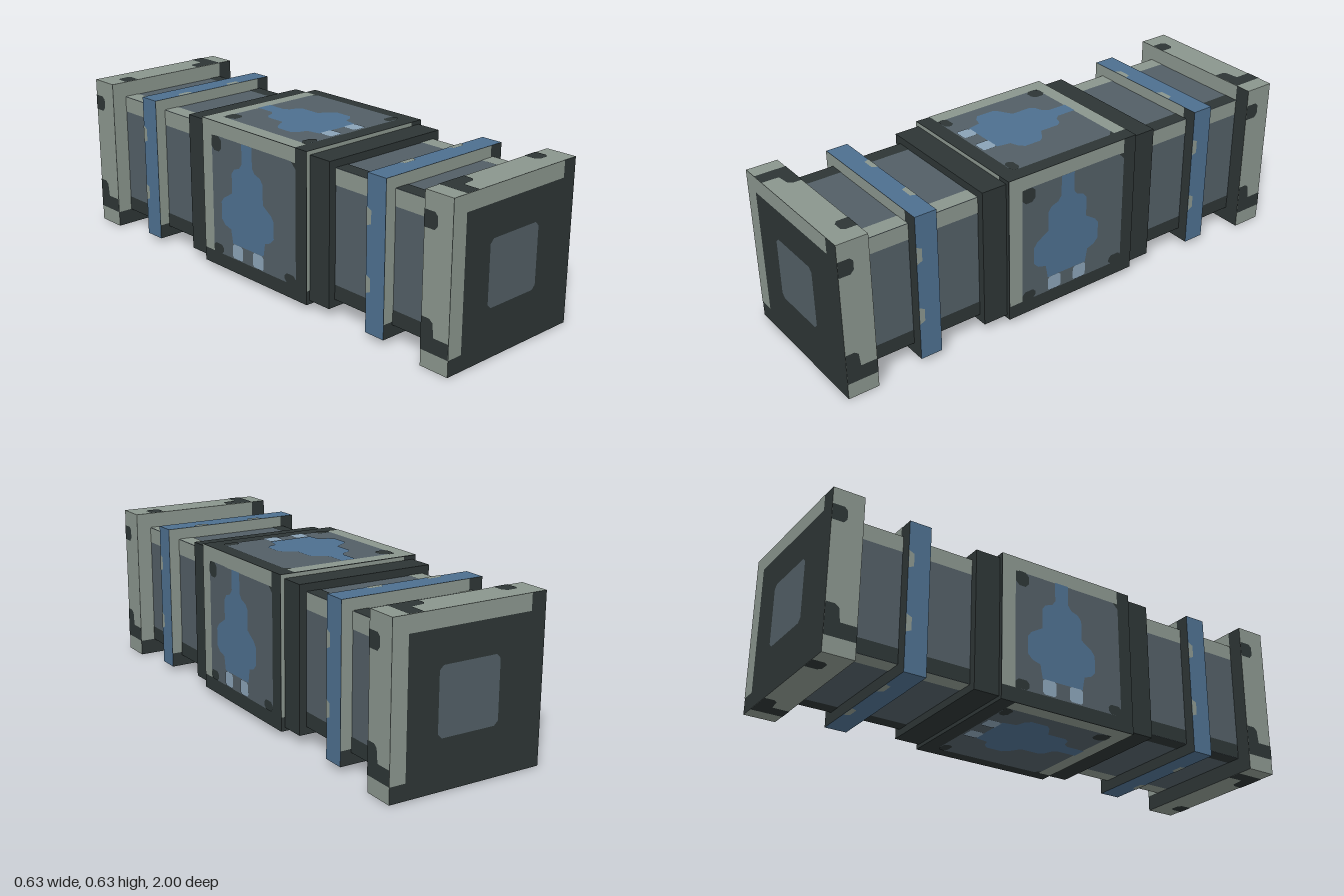
import * as THREE from 'three';

const mat = (name, color) => {
  const m = new THREE.MeshStandardMaterial({ color });
  m.name = name;
  return m;
};
const V = (x, y, z) => new THREE.Vector3(x, y, z);
const rect = (x0, y0, x1, y1) => [[x0, y0], [x1, y0], [x1, y1], [x0, y1]];
// rectangle with cut corners
const cut = (x0, y0, x1, y1, c) => [
  [x0 + c, y0], [x1 - c, y0], [x1, y0 + c], [x1, y1 - c],
  [x1 - c, y1], [x0 + c, y1], [x0, y1 - c], [x0, y0 + c]];
// highlight along the left and top edges of a square face
const corner = (h, w) => [
  [-h, -h + w], [-h + w, -h + w], [-h + w, h - w], [h - w, h - w], [h - w, h], [-h, h]];

export function createModel() {
  const light = mat('paleGrey', 0x8a958d);
  const dark = mat('darkGrey', 0x2d3535);
  const slate = mat('slate', 0x525e65);
  const blue = mat('blue', 0x4d6f8f);
  const pale = mat('paleBlue', 0x8aa2b6);

  const model = new THREE.Group();
  model.name = 'squareConduit';
  const body = new THREE.Group();
  body.name = 'body';
  body.position.y = 0.3135;
  model.add(body);

  // square block along z: sides in one colour, ends in another
  function block(parent, name, half, z0, z1, side, end) {
    const mesh = new THREE.Mesh(
      new THREE.BoxGeometry(half * 2, half * 2, z1 - z0), [side, side, side, side, end, end]);
    mesh.name = name;
    mesh.position.z = (z0 + z1) / 2;
    parent.add(mesh);
  }
  // group lying on a face: local x = a, local z = outward normal
  function face(parent, name, n, a, origin) {
    const g = new THREE.Group();
    g.name = name;
    const b = n.clone().cross(a);
    g.quaternion.setFromRotationMatrix(new THREE.Matrix4().makeBasis(a, b, n));
    g.position.copy(origin);
    parent.add(g);
    return g;
  }
  function paint(parent, name, points, material, layer = 1) {
    const shape = new THREE.Shape(points.map(p => new THREE.Vector2(p[0], p[1])));
    const mesh = new THREE.Mesh(new THREE.ShapeGeometry(shape), material);
    mesh.name = name;
    mesh.position.z = 0.0015 * layer;
    parent.add(mesh);
  }
  // highlight on both end faces of a block
  function endTrim(parent, name, half, z0, z1, w) {
    for (const [s, z] of [[-1, z0], [1, z1]]) {
      const f = face(parent, name, V(0, 0, s), V(s, 0, 0), V(0, 0, z));
      paint(f, name + 'Highlight', corner(half, w), light);
    }
  }

  // central housing
  block(body, 'collar', 0.28, -0.4, 0.4, dark, dark);
  const H = 0.295;
  block(body, 'housing', H, -0.297, 0.297, dark, dark);
  endTrim(body, 'housingEnd', H, -0.297, 0.297, 0.055);

  // window panels on the four sides of the housing
  const emblem = [
    [-0.06, 0.24], [-0.06, 0.16], [-0.075, 0.14], [-0.105, 0.13], [-0.12, 0.11], [-0.12, 0.03],
    [-0.17, 0], [-0.185, -0.02], [-0.185, -0.09], [-0.165, -0.11], [-0.13, -0.12], [-0.12, -0.175],
    [0.06, -0.175], [0.07, -0.12], [0.1, -0.11], [0.12, -0.09], [0.12, -0.02], [0.105, 0],
    [0.06, 0.03], [0.06, 0.11], [0.045, 0.13], [0.015, 0.14], [0, 0.16], [0, 0.24]];
  const panels = [
    [V(1, 0, 0), V(0, 0, -1)], [V(-1, 0, 0), V(0, 0, 1)],
    [V(0, 1, 0), V(1, 0, 0)], [V(0, -1, 0), V(1, 0, 0)]];
  for (const [n, a] of panels) {
    const f = face(body, 'windowPanel', n, a, n.clone().multiplyScalar(H));
    paint(f, 'panelHighlight', corner(H, 0.057), light);
    paint(f, 'window', cut(-0.238, -0.238, 0.24, 0.24, 0.025), slate);
    paint(f, 'rivet', cut(-0.238, 0.18, -0.18, 0.24, 0.015), dark, 2);
    for (const x of [-0.238, 0.18]) {
      paint(f, 'lowerRivet', cut(x, -0.238, x + 0.06, -0.2, 0.012), dark, 2);
    }
    paint(f, 'windowShape', emblem, blue, 2);
    for (const x of [-0.12, 0]) paint(f, 'paleSpot', cut(x, -0.235, x + 0.06, -0.175, 0.008), pale, 3);
  }

  // the two arms, the second turned half round
  const sides = [
    [V(0, 1, 0), V(1, 0, 0)], [V(1, 0, 0), V(0, 1, 0)],
    [V(0, -1, 0), V(1, 0, 0)], [V(-1, 0, 0), V(0, 1, 0)]];
  for (const turn of [0, Math.PI]) {
    const arm = new THREE.Group();
    arm.name = turn ? 'backArm' : 'frontArm';
    arm.rotation.y = turn;
    body.add(arm);

    block(arm, 'pipe', 0.25, 0.39, 0.88, slate, dark);
    block(arm, 'ring', 0.295, 0.6, 0.688, blue, dark);
    block(arm, 'endCap', 0.3125, 0.876, 0.998, light, dark);
    endTrim(arm, 'ringEnd', 0.295, 0.6, 0.688, 0.058);
    endTrim(arm, 'capEnd', 0.3125, 0.876, 0.998, 0.0625);
    const opening = face(arm, 'opening', V(0, 0, 1), V(1, 0, 0), V(0, 0, 0.998));
    paint(opening, 'openingPlate', cut(-0.125, -0.125, 0.125, 0.125, 0.016), slate);

    for (const [n, a] of sides) {
      const on = (name, half, z) =>
        face(arm, name, n, a, n.clone().multiplyScalar(half).add(V(0, 0, z)));
      // pipe edge stripes
      const pipe = on('pipeSide', 0.25, 0.637);
      paint(pipe, 'lightStripe', rect(0.187, -0.237, 0.25, 0.237), light);
      paint(pipe, 'darkStripe', rect(-0.25, -0.237, -0.192, 0.237), dark);
      // ring notches
      const ring = on('ringSide', 0.295, 0.644);
      for (const x of [0.14, -0.11]) {
        paint(ring, 'notch', [[x - 0.035, 0.044], [x - 0.025, 0.022], [x + 0.025, 0.022], [x + 0.035, 0.044]], light);
      }
      // cap wear patches
      const cap = on('capSide', 0.3125, 0.937);
      paint(cap, 'darkBand', rect(-0.25, -0.061, -0.192, 0.061), dark);
      paint(cap, 'darkPatch', [[-0.192, 0.061], [-0.192, 0.004], [-0.14, 0.01], [-0.128, 0.025], [-0.128, 0.061]], dark);
      paint(cap, 'darkSpot', [[0.185, 0.061], [0.185, 0.015], [0.2, 0.002], [0.235, 0.002], [0.247, 0.015], [0.247, 0.061]], dark);
    }
  }
  return model;
}
